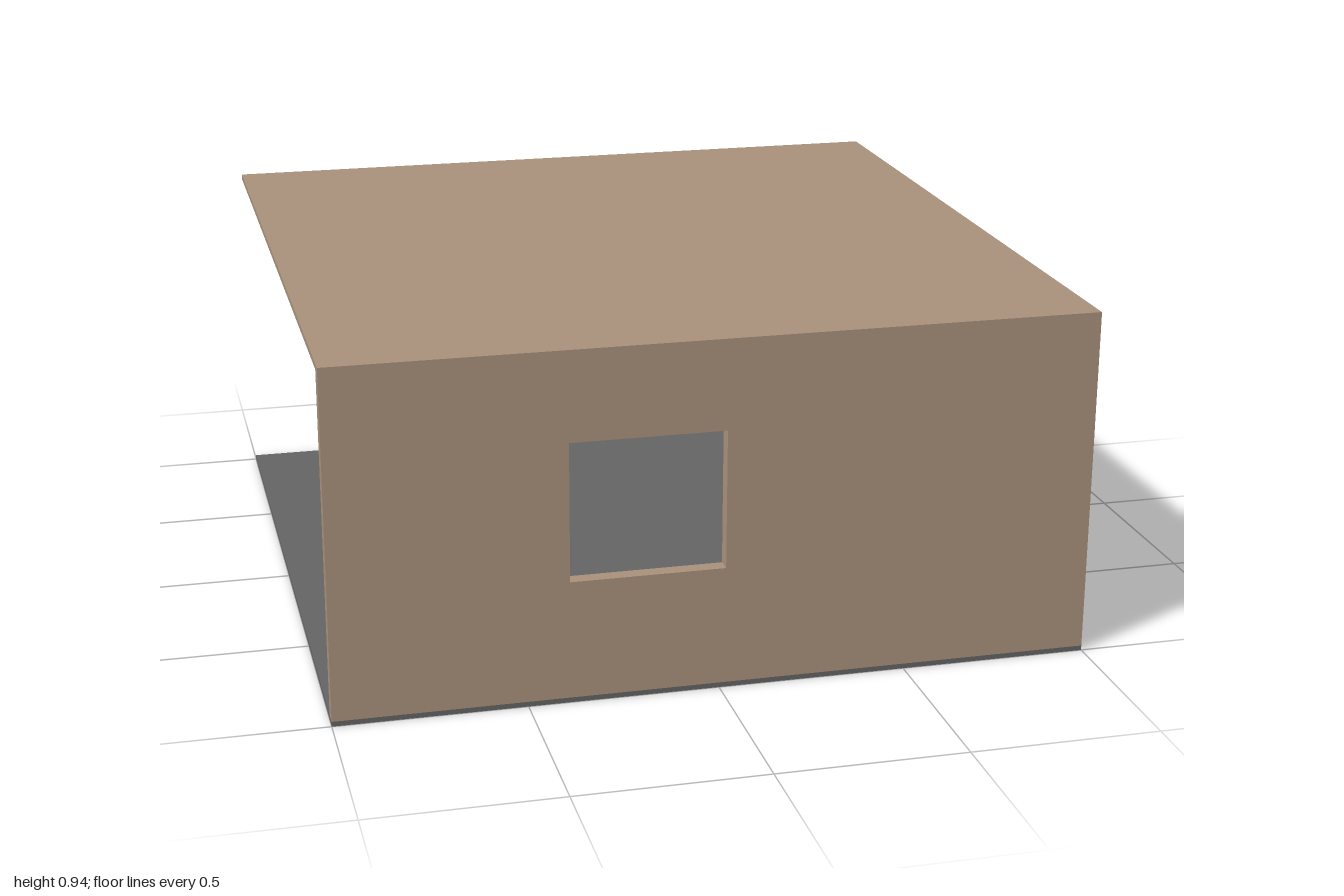
import * as THREE from 'three';

const HEIGHT = 0.94, FLOOR = 0.013, ROOF = 0.016, WALL = 0.04;

export function createModel() {
  const model = new THREE.Group();
  model.name = 'openRoom';
  const tan = new THREE.MeshStandardMaterial({ color: 0xa8917a });
  const grey = new THREE.MeshStandardMaterial({ color: 0x646464 });

  const add = (name, geometry, material, x, y, z) => {
    const mesh = new THREE.Mesh(geometry, material);
    mesh.name = name;
    mesh.position.set(x, y, z);
    model.add(mesh);
  };
  const wallHeight = HEIGHT - FLOOR - ROOF;

  // Floor and roof slabs
  add('floor', new THREE.BoxGeometry(2, FLOOR, 2), grey, 0, FLOOR / 2, 0);
  add('roof', new THREE.BoxGeometry(2, ROOF, 2), tan, 0, HEIGHT - ROOF / 2, 0);

  // Solid side wall on +x, stopping behind the front wall
  add('sideWall', new THREE.BoxGeometry(WALL, wallHeight, 2 - WALL), tan,
    1 - WALL / 2, FLOOR + wallHeight / 2, -WALL / 2);

  // Front wall with a window opening; the back and -x sides stay open
  const rectangle = (path, x0, y0, x1, y1) =>
    path.moveTo(x0, y0).lineTo(x1, y0).lineTo(x1, y1).lineTo(x0, y1).closePath();
  const outline = rectangle(new THREE.Shape(), -1, FLOOR, 1, HEIGHT - ROOF);
  outline.holes.push(rectangle(new THREE.Path(), -0.39, 0.33, 0.015, 0.7));
  add('frontWall', new THREE.ExtrudeGeometry(outline, { depth: WALL, bevelEnabled: false }),
    tan, 0, 0, 1 - WALL);

  return model;
}
